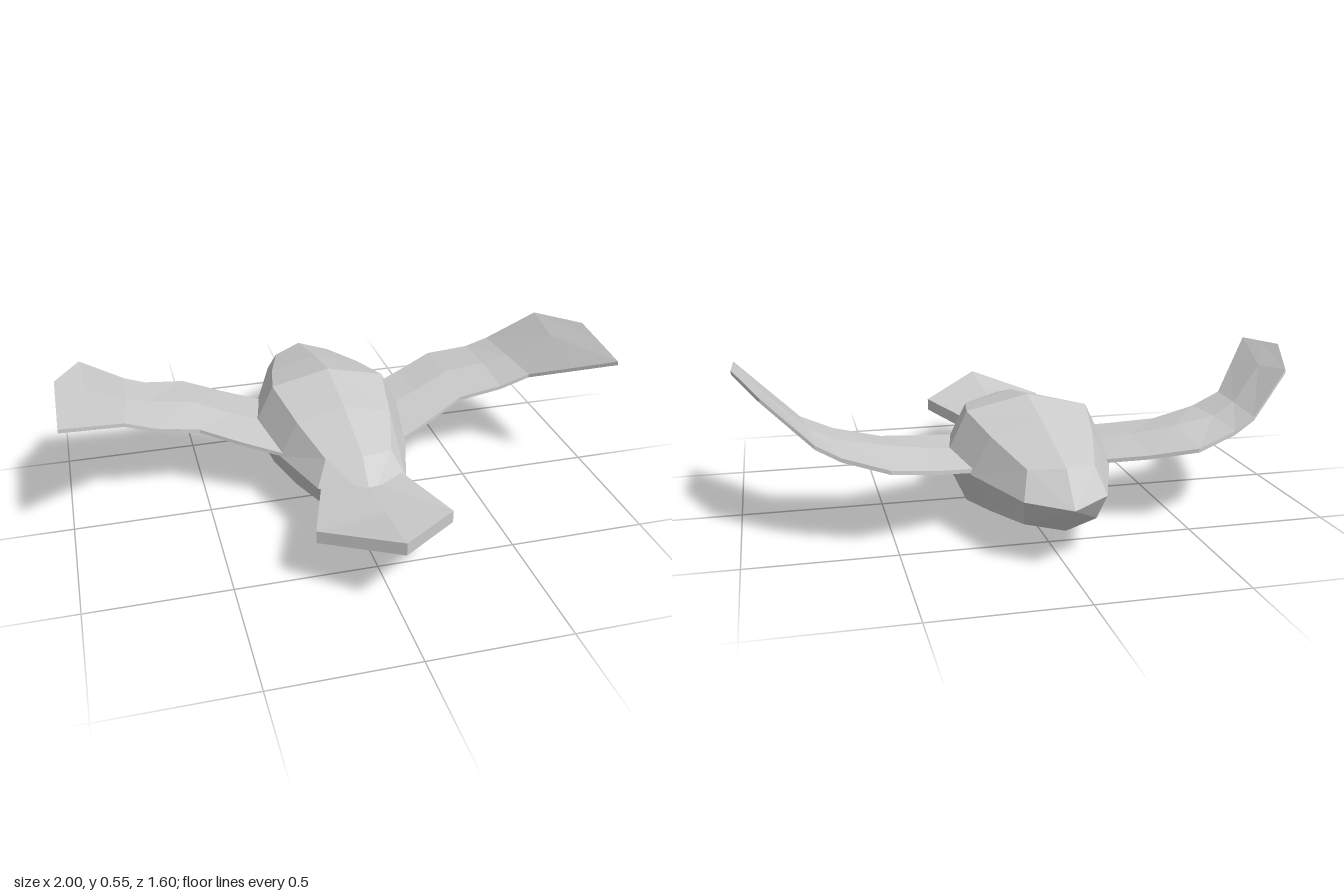
import * as THREE from 'three';

const material = new THREE.MeshStandardMaterial({ color: 0xcccccc, flatShading: true });

// Skin a closed surface over loops of points, closing each end on an apex
function loft(name, rings, startApex, endApex) {
  const tris = [];
  const n = rings[0].length;
  const centre = (r) => [0, 1, 2].map((k) => r.reduce((s, p) => s + p[k], 0) / n);
  const last = rings[rings.length - 1];
  const a0 = startApex || centre(rings[0]);
  const a1 = endApex || centre(last);
  for (let i = 0; i < n; i++) {
    const j = (i + 1) % n;
    tris.push([a0, rings[0][j], rings[0][i]], [a1, last[i], last[j]]);
    for (let r = 0; r < rings.length - 1; r++) {
      const A = rings[r], B = rings[r + 1];
      tris.push([A[i], A[j], B[j]], [A[i], B[j], B[i]]);
    }
  }
  // Face outwards whichever way the loops run
  const v = (p) => new THREE.Vector3(...p);
  const volume = tris.reduce((s, [a, b, c]) => s + v(a).dot(v(b).cross(v(c))), 0);
  const pos = tris.flatMap(([a, b, c]) => (volume < 0 ? [a, c, b] : [a, b, c])).flat();
  const geo = new THREE.BufferGeometry();
  geo.setAttribute('position', new THREE.Float32BufferAttribute(pos, 3));
  geo.computeVertexNormals();
  const mesh = new THREE.Mesh(geo, material);
  mesh.name = name;
  return mesh;
}

// Thin plate: each station is a list of points across the top
function plate(name, stations, thickness) {
  return loft(name, stations.map((top) => [
    ...top,
    ...top.map(([x, y, z]) => [x, y - thickness, z]).reverse(),
  ]));
}

function makeBody() {
  // z of ridge, z of corners, top y, upper x, upper y, side x, lower x, lower y, bottom y
  const sections = [
    [-0.70, -0.64, 0.325, 0.11, 0.31, 0.135, 0.12, 0.13, 0.12],
    [-0.40, -0.40, 0.40, 0.175, 0.355, 0.24, 0.18, 0.095, 0.045],
    [-0.19, -0.19, 0.44, 0.215, 0.39, 0.295, 0.22, 0.065, 0.005],
    [0.05, 0.05, 0.40, 0.175, 0.355, 0.24, 0.18, 0.095, 0.04],
    [0.30, 0.25, 0.33, 0.12, 0.31, 0.16, 0.135, 0.13, 0.11],
  ];
  const rings = sections.map(([z, zc, top, ux, uy, sx, lx, ly, bottom]) => [
    [0, top, z], [ux, uy, zc], [sx, 0.225, z], [lx, ly, zc],
    [0, bottom, z], [-lx, ly, zc], [-sx, 0.225, z], [-ux, uy, zc],
  ]);
  return loft('body', rings, [0, 0.22, -0.8], [0, 0.22, 0.41]);
}

function makeTail() {
  // half width, z, edge y, ridge y
  const rows = [[0.145, 0.29, 0.24, 0.24], [0.235, 0.58, 0.245, 0.277], [0, 0.8, 0.305, 0.305]];
  return plate('tail', rows.map(([w, z, edge, ridge]) =>
    [[-w, edge, z], [0, ridge, z], [w, edge, z]]), 0.045);
}

function makeWing(side) {
  // leading, middle and trailing points from root to tip
  const stations = [
    [[0.22, 0.24, -0.38], [0.22, 0.25, -0.17], [0.22, 0.237, 0.06]],
    [[0.37, 0.265, -0.45], [0.37, 0.28, -0.23], [0.37, 0.265, -0.02]],
    [[0.52, 0.298, -0.515], [0.52, 0.318, -0.29], [0.51, 0.295, -0.10]],
    [[0.67, 0.335, -0.465], [0.67, 0.343, -0.28], [0.67, 0.33, -0.085]],
    [[0.75, 0.375, -0.44], [0.76, 0.38, -0.25], [0.78, 0.375, -0.07]],
    [[0.91, 0.512, -0.34], [0.90, 0.49, -0.15], [0.89, 0.45, 0.065]],
    [[1.0, 0.555, -0.10], [1.0, 0.54, 0.05], [1.0, 0.525, 0.20]],
  ];
  return plate(side > 0 ? 'leftWing' : 'rightWing',
    stations.map((s) => s.map(([x, y, z]) => [x * side, y, z])), 0.014);
}

export function createModel() {
  const bird = new THREE.Group();
  bird.name = 'bird';
  bird.add(makeBody(), makeTail(), makeWing(1), makeWing(-1));
  return bird;
}
